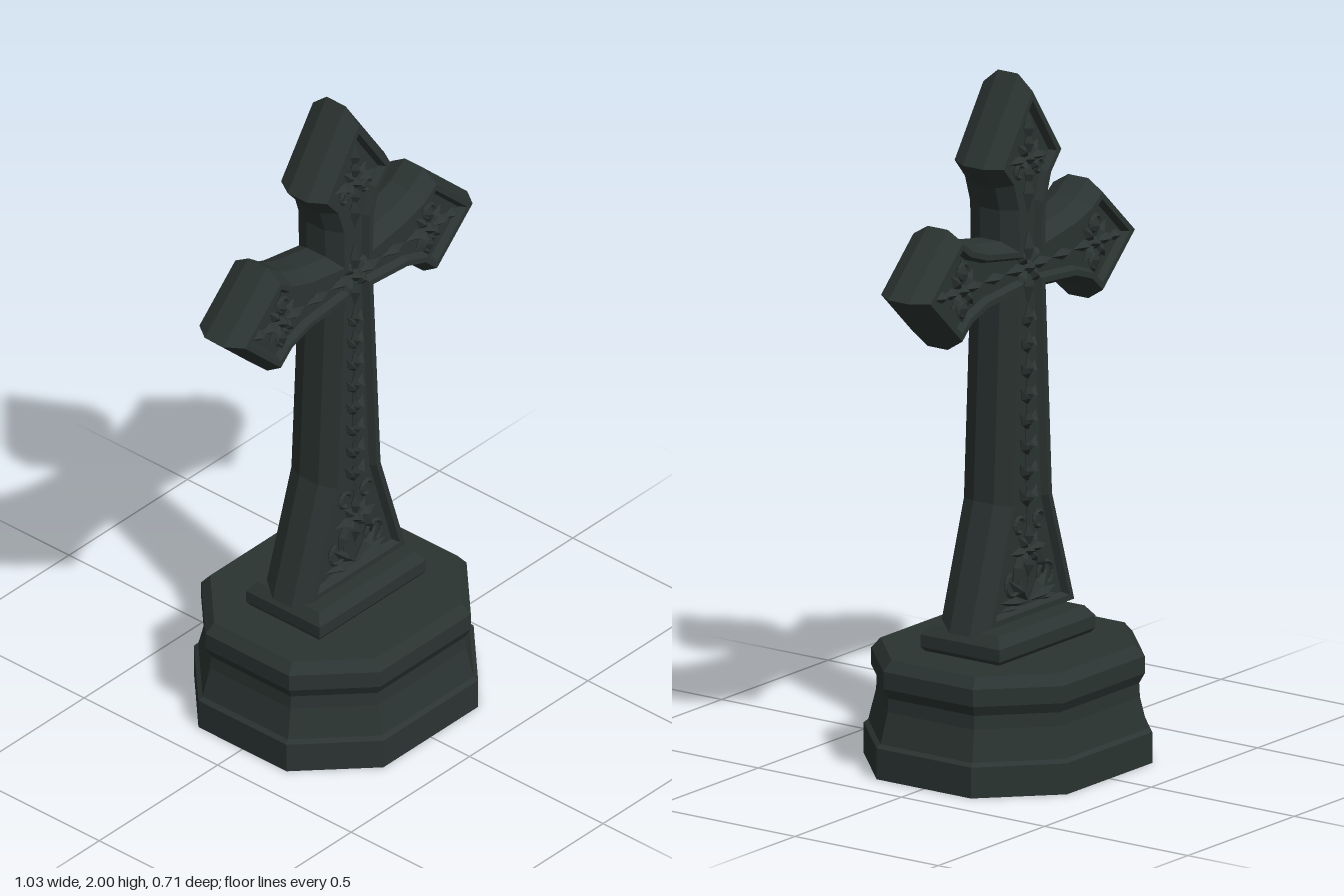
import * as THREE from 'three';
import { mergeGeometries } from 'three/addons/utils/BufferGeometryUtils.js';

// Moves a counter-clockwise outline inward by d, with mitred corners
function inset(points, d) {
  const n = points.length;
  return points.map((p, i) => {
    const a = p.clone().sub(points[(i + n - 1) % n]).normalize();
    const b = points[(i + 1) % n].clone().sub(p).normalize();
    const na = new THREE.Vector2(-a.y, a.x), nb = new THREE.Vector2(-b.y, b.x);
    const m = na.clone().add(nb);
    return p.clone().addScaledVector(m, d / (1 + na.dot(nb)));
  });
}

// Joins inset copies of an outline at [inset, height] layers into a faceted solid
function stack(points, layers) {
  const rings = layers.map(([d, z]) => inset(points, d).map((p) => new THREE.Vector3(p.x, p.y, z)));
  const verts = [];
  const tri = (...vs) => vs.forEach((v) => verts.push(v.x, v.y, v.z));
  for (let k = 0; k + 1 < rings.length; k++) {
    const lo = rings[k], hi = rings[k + 1];
    for (let i = 0; i < lo.length; i++) {
      const j = (i + 1) % lo.length;
      tri(lo[i], lo[j], hi[j]);
      tri(lo[i], hi[j], hi[i]);
    }
  }
  const cap = (ring, up) => {
    const flat = ring.map((v) => new THREE.Vector2(v.x, v.y));
    for (const [a, b, c] of THREE.ShapeUtils.triangulateShape(flat, [])) {
      if (up) tri(ring[a], ring[b], ring[c]);
      else tri(ring[a], ring[c], ring[b]);
    }
  };
  cap(rings[0], false);
  cap(rings[rings.length - 1], true);
  const g = new THREE.BufferGeometry();
  g.setAttribute('position', new THREE.Float32BufferAttribute(verts, 3));
  g.computeVertexNormals();
  return g;
}

const vec = (list) => list.map(([x, y]) => new THREE.Vector2(x, y));

// Carved leaf: a flattened octahedron starting at (x, y), pointing along the angle
function leaf(x, y, angle, length, width, depth = 0.022) {
  const g = new THREE.OctahedronGeometry(1);
  g.scale(length / 2, width / 2, depth);
  g.translate(length / 2, 0, 0);
  g.rotateZ(angle);
  g.translate(x, y, 0.07);
  return g;
}

// Flower of long and short petals around a bud
function rosette(x, y, size) {
  const parts = [];
  for (let i = 0; i < 8; i++) {
    const long = i % 2 === 0;
    parts.push(leaf(x, y, (i * Math.PI) / 4, size * (long ? 1 : 0.75), size * 0.34, long ? 0.022 : 0.017));
  }
  const bud = new THREE.OctahedronGeometry(size * 0.26);
  bud.scale(1, 1, 0.028 / (size * 0.26));
  bud.translate(x, y, 0.07);
  parts.push(bud);
  return parts;
}

// Curled tendril
function scroll(x, y, radius, start, arc) {
  const g = new THREE.TorusGeometry(radius, 0.007, 4, 10, arc).toNonIndexed();
  g.rotateZ(start);
  g.translate(x, y, 0.073);
  g.computeVertexNormals();
  return g;
}

export function createModel() {
  const group = new THREE.Group();
  const stone = new THREE.MeshStandardMaterial({ color: 0x2b3432 });
  stone.name = 'darkStone';
  stone.flatShading = true;
  const add = (name, geometry) => {
    const mesh = new THREE.Mesh(geometry, stone);
    mesh.name = name;
    group.add(mesh);
    return mesh;
  };

  // Moulded octagonal base
  const octagon = vec([
    [0.2, -0.355], [0.395, -0.165], [0.395, 0.165], [0.2, 0.355],
    [-0.2, 0.355], [-0.395, 0.165], [-0.395, -0.165], [-0.2, -0.355],
  ]);
  add('octagonalBase', stack(octagon, [
    [0, 0], [0, 0.09], [0.012, 0.1], [0.033, 0.19], [0.035, 0.23],
    [0.02, 0.26], [0.02, 0.31], [0.045, 0.34],
  ]).rotateX(-Math.PI / 2));

  // Bevelled block under the cross
  const block = vec([[0.225, -0.138], [0.225, 0.138], [-0.225, 0.138], [-0.225, -0.138]]);
  add('plinth', stack(block, [
    [0.012, 0.335], [0, 0.352], [0, 0.388], [0.022, 0.418],
  ]).rotateX(-Math.PI / 2));

  // Cross with bevelled edges, a raised rim and sunken panels on both faces
  const half = [
    [0.228, 0.41], [0.115, 0.77], [0.086, 1.36], [0.2, 1.35], [0.27, 1.325], [0.33, 1.27],
    [0.515, 1.445], [0.33, 1.62], [0.27, 1.575], [0.2, 1.55], [0.084, 1.53],
    [0.086, 1.62], [0.108, 1.69], [0.165, 1.757],
  ];
  const mirrored = half.map(([x, y]) => [-x, y]).reverse();
  const outline = vec([...half, [0, 2], ...mirrored]);
  const front = [[0, 0.035], [0.024, 0.086], [0.04, 0.086], [0.05, 0.066]];
  const back = front.map(([d, z]) => [d, -z]).reverse();
  add('cross', stack(outline, [...back, ...front]));

  // Carved foliage for one face
  const parts = [
    ...rosette(0, 1.445, 0.11),
    ...rosette(0.31, 1.445, 0.1),
    ...rosette(-0.31, 1.445, 0.1),
    ...rosette(0, 1.76, 0.09),
    ...rosette(0, 0.62, 0.085),
    leaf(0, 1.8, Math.PI / 2, 0.1, 0.04),
    leaf(0, 1.6, Math.PI / 2, 0.12, 0.04),
  ];

  // Stem and paired leaves climbing the shaft
  parts.push(leaf(0, 0.48, Math.PI / 2, 0.85, 0.022, 0.014));
  for (let i = 0; i < 8; i++) {
    const y = 0.74 + i * 0.075;
    const size = 0.075 - i * 0.003;
    parts.push(leaf(0, y, Math.PI / 2, 0.07, 0.026));
    for (const s of [-1, 1]) parts.push(leaf(0, y, Math.PI / 2 - s * 0.55, size, 0.026));
  }

  // Mirrored scrolls and leaves in the flared foot and the arm ends
  for (const s of [-1, 1]) {
    const out = (a) => (s > 0 ? a : Math.PI - a);
    parts.push(
      scroll(s * 0.075, 0.535, 0.034, out(0) - 1.2, 4.5),
      scroll(s * 0.045, 0.7, 0.022, 0, 5),
      leaf(0, 0.47, out(0.15), 0.13, 0.034),
      leaf(0, 0.47, out(0.7), 0.12, 0.034),
      leaf(s * 0.03, 0.47, out(-0.05), 0.1, 0.02),
      leaf(s * 0.07, 0.53, out(1.9), 0.1, 0.03),
      leaf(s * 0.37, 1.445, out(0), 0.07, 0.035),
      leaf(s * 0.11, 1.445, out(0), 0.1, 0.035),
      scroll(s * 0.31, 1.5, 0.022, 0, 5),
      scroll(s * 0.31, 1.39, 0.022, 0, 5),
      scroll(s * 0.045, 1.73, 0.018, 0, 5),
    );
  }
  const foliage = mergeGeometries(parts);
  add('frontCarving', foliage);
  add('backCarving', foliage).rotation.y = Math.PI;

  return group;
}
